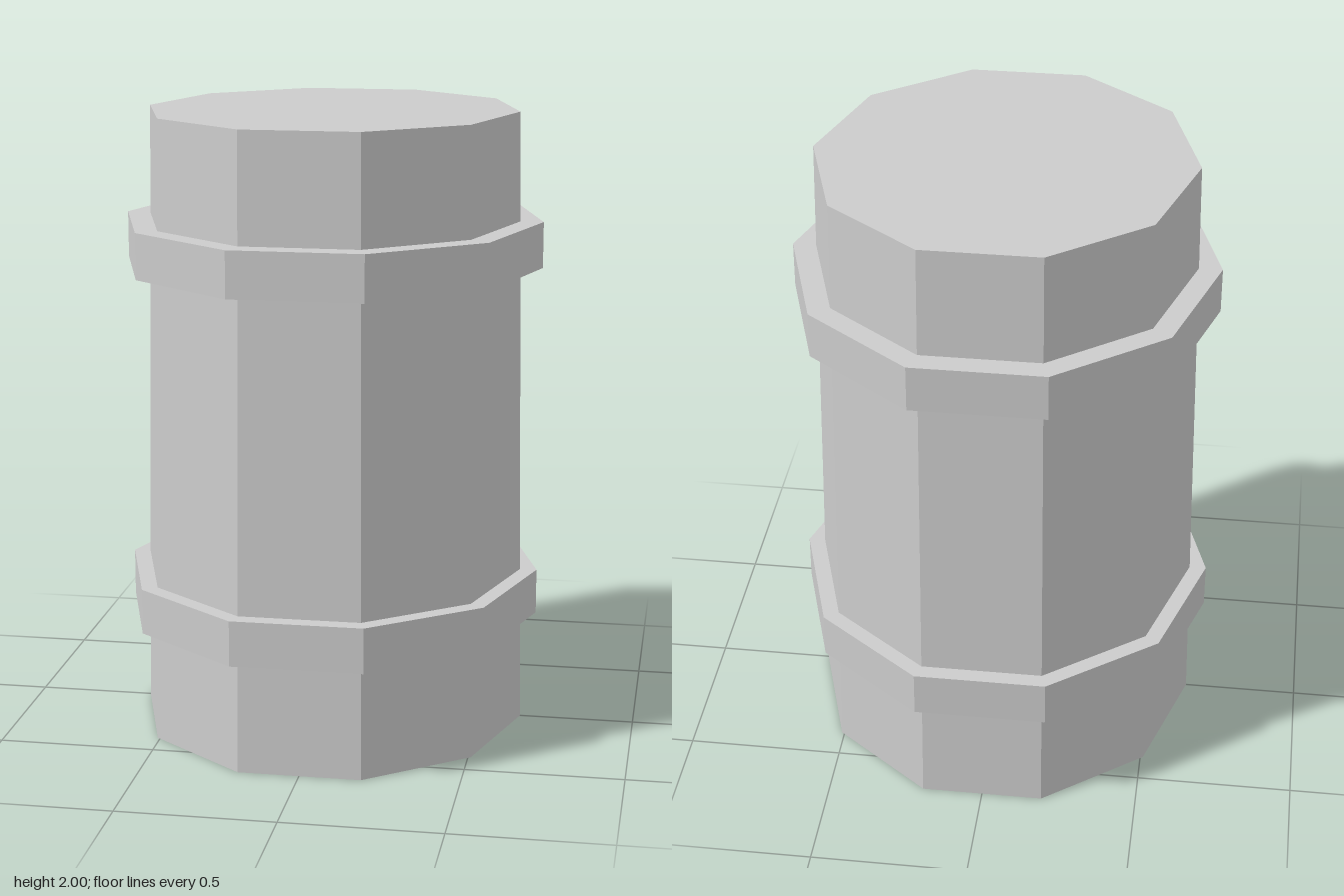
import * as THREE from 'three';

const SIDES = 10;

export function createModel() {
  const group = new THREE.Group();
  group.name = 'barrel';

  const grey = new THREE.MeshStandardMaterial({ color: 0xcccccc, flatShading: true });
  grey.name = 'plain grey';

  // Ten-sided drum with corners on the x axis, slightly deeper than wide
  function addDrum(name, topRadius, bottomRadius, bottom, top, depthScale) {
    const geometry = new THREE.CylinderGeometry(
      topRadius, bottomRadius, top - bottom, SIDES, 1, false, Math.PI / 2);
    geometry.scale(1, 1, depthScale);
    geometry.translate(0, (bottom + top) / 2, 0);
    const mesh = new THREE.Mesh(geometry, grey);
    mesh.name = name;
    group.add(mesh);
  }

  // Tapered body
  addDrum('body', 0.594, 0.629, 0, 2, 1.069);

  // Two hoops around the body
  addDrum('lowerHoop', 0.674, 0.674, 0.362, 0.508, 1.064);
  addDrum('upperHoop', 0.674, 0.674, 1.507, 1.654, 1.064);

  return group;
}
